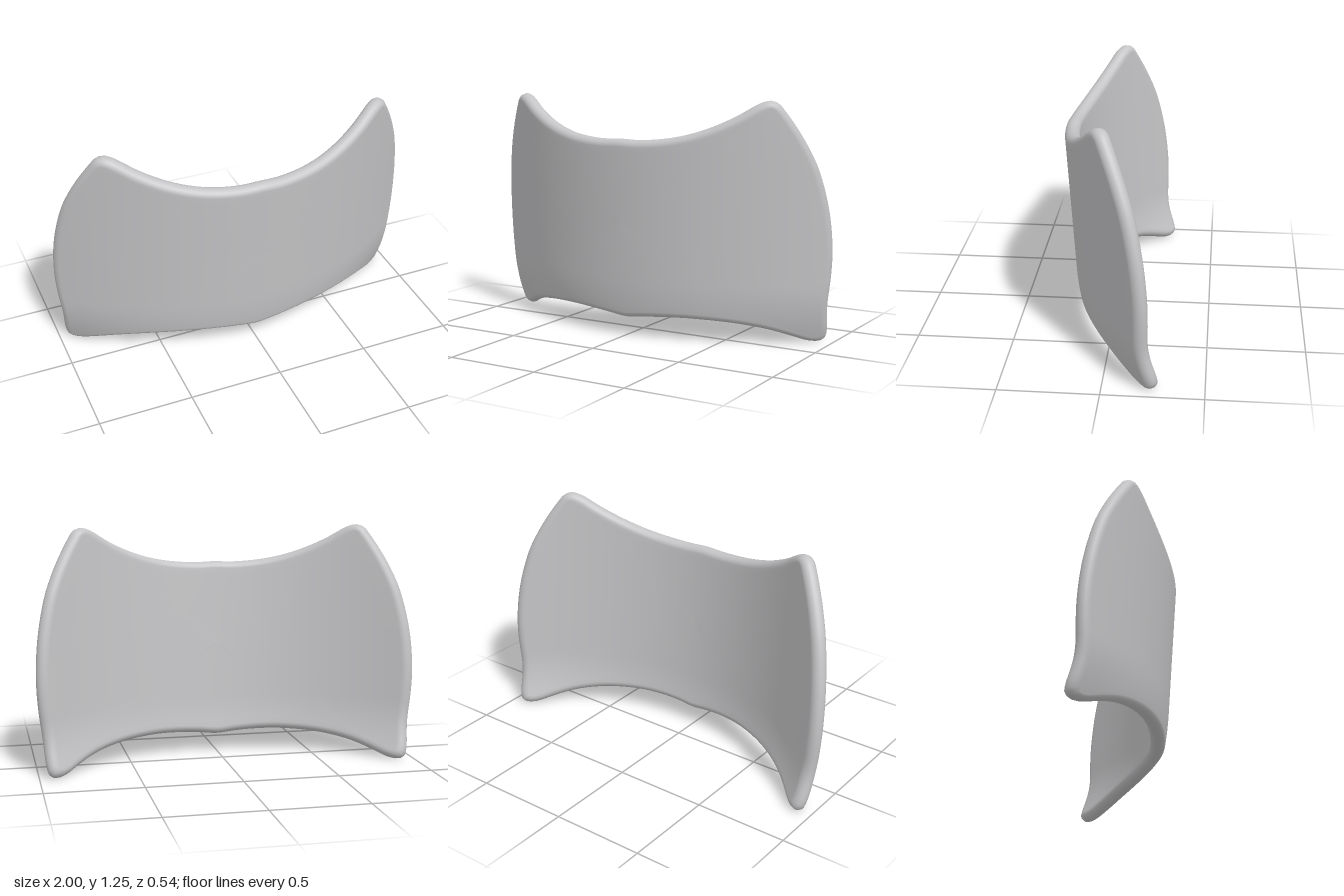
import * as THREE from 'three';

// Right half of the outline (x, y), from bottom centre round to top centre
const HALF = [
  [0, 0.098], [0.1, 0.108], [0.2, 0.116], [0.35, 0.12], [0.55, 0.106], [0.7, 0.075], [0.8, 0.036],
  [0.86, 0.009], [0.9, 0.002], [0.935, 0.014], [0.953, 0.05], [0.97, 0.2], [0.988, 0.35], [0.995, 0.5],
  [0.982, 0.7], [0.943, 0.9], [0.908, 1.0], [0.862, 1.1], [0.805, 1.2], [0.78, 1.235], [0.745, 1.248],
  [0.7, 1.234], [0.6, 1.172], [0.5, 1.122], [0.4, 1.085], [0.3, 1.06], [0.2, 1.046], [0.1, 1.04], [0, 1.043],
];
const HALF_THICKNESS = 0.039;
const RIM_INSET = 0.035;
const SEGMENTS = 240;
const CENTRE_Y = 0.6;

// Depth of the middle of the shell: bowed sideways, leaning forward, curled back at the foot
function midDepth(x, y) {
  const foot = Math.max(0, 1 - y / 0.3) ** 2;
  return 0.16 + 0.07 * y - 0.405 * x * x - foot * (0.03 + 0.05 * x * x);
}

// Point of the shell at (x, y), offset along the surface normal
function shellPoint(x, y, offset) {
  const e = 0.002;
  const n = new THREE.Vector3(
    -(midDepth(x + e, y) - midDepth(x - e, y)) / (2 * e),
    -(midDepth(x, y + e) - midDepth(x, y - e)) / (2 * e),
    1,
  ).normalize();
  return new THREE.Vector3(x, y, midDepth(x, y)).addScaledVector(n, offset);
}

function makeShell() {
  // Full counter-clockwise outline, mirrored about x = 0
  const mirrored = HALF.slice(1, -1).reverse().map(([x, y]) => [-x, y]);
  const curve = new THREE.CatmullRomCurve3(
    [...HALF, ...mirrored].map(([x, y]) => new THREE.Vector3(x, y, 0)), true, 'centripetal');
  curve.arcLengthDivisions = 1000;
  const outline = curve.getSpacedPoints(SEGMENTS).slice(0, SEGMENTS);

  // Rings from the front centre, round the rim, to the back centre
  const rings = [];
  const faceSteps = 14, rimSteps = 12;
  for (let i = 0; i < faceSteps; i++) rings.push({ scale: i / faceSteps, angle: Math.PI / 2 });
  for (let i = 0; i <= rimSteps; i++) rings.push({ scale: 1, angle: Math.PI * (0.5 - i / rimSteps) });
  for (let i = faceSteps - 1; i >= 0; i--) rings.push({ scale: i / faceSteps, angle: -Math.PI / 2 });

  const positions = [];
  for (const { scale, angle } of rings) {
    const inset = RIM_INSET * (1 - Math.cos(angle));
    for (let i = 0; i < SEGMENTS; i++) {
      const p = outline[i];
      const t = outline[(i + 1) % SEGMENTS].clone().sub(outline[(i + SEGMENTS - 1) % SEGMENTS]).normalize();
      const x = (p.x - t.y * inset) * scale;
      const y = CENTRE_Y + (p.y + t.x * inset - CENTRE_Y) * scale;
      positions.push(...shellPoint(x, y, HALF_THICKNESS * Math.sin(angle)).toArray());
    }
  }

  const index = [];
  for (let k = 0; k < rings.length - 1; k++) {
    for (let i = 0; i < SEGMENTS; i++) {
      const j = (i + 1) % SEGMENTS;
      const a = k * SEGMENTS + i, b = k * SEGMENTS + j;
      const d = a + SEGMENTS, c = b + SEGMENTS;
      if (k < rings.length - 2) index.push(a, d, c);
      if (k > 0) index.push(a, c, b);
      if (k === rings.length - 2) index.push(a, d, b);
    }
  }
  const geometry = new THREE.BufferGeometry();
  geometry.setAttribute('position', new THREE.Float32BufferAttribute(positions, 3));
  geometry.setIndex(index.filter((_, n) => true));
  geometry.computeVertexNormals();
  return geometry;
}

export function createModel() {
  const group = new THREE.Group();
  group.name = 'curvedBackrest';
  const grey = new THREE.MeshStandardMaterial({ color: 0xc4c4c6 });
  grey.name = 'lightGrey';
  const shell = new THREE.Mesh(makeShell(), grey);
  shell.name = 'backrestShell';
  group.add(shell);
  return group;
}
